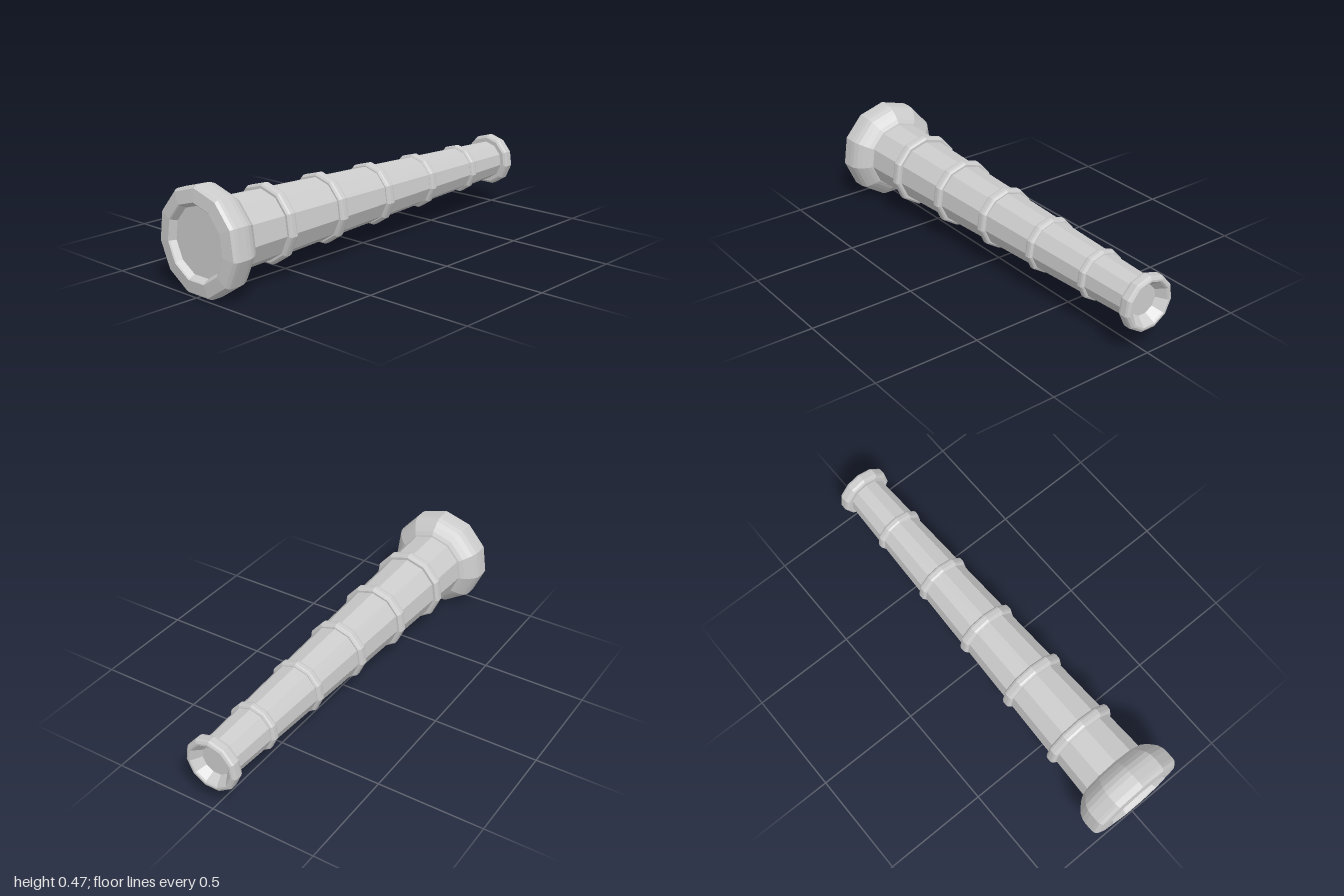
import * as THREE from 'three';

const SIDES = 11;
const AXIS_Y = 0.231;

export function createModel() {
  const model = new THREE.Group();
  const material = new THREE.MeshStandardMaterial({ color: 0xcccccc, flatShading: true });

  // Turns a profile of [radius, z] pairs about the z axis, with a corner at the top.
  // Profiles run from back to front along the outside.
  function turned(name, profile) {
    const points = profile.map(([r, z]) => new THREE.Vector2(r, z));
    const geometry = new THREE.LatheGeometry(points, SIDES, Math.PI);
    geometry.rotateX(Math.PI / 2);
    geometry.translate(0, AXIS_Y, 0);
    const mesh = new THREE.Mesh(geometry, material);
    mesh.name = name;
    model.add(mesh);
  }

  // Tapered tube
  const bodyRadius = z => THREE.MathUtils.mapLinear(z, -0.96, 0.83, 0.094, 0.165);
  turned('body', [[bodyRadius(-0.96), -0.96], [bodyRadius(0.84), 0.84]]);

  // Wide rounded head with a shallow recessed front
  turned('head', [
    [0.16, 0.825], [0.172, 0.828], [0.19, 0.84], [0.211, 0.86], [0.228, 0.88],
    [0.238, 0.903], [0.241, 0.925], [0.241, 0.965], [0.239, 0.98], [0.229, 0.993],
    [0.172, 1], [0.167, 0.995], [0.153, 0.97], [0, 0.97],
  ]);

  // Raised bands: position, outer radius, half width
  const bands = [
    [0.608, 0.179, 0.025], [0.283, 0.163, 0.025], [-0.042, 0.147, 0.025],
    [-0.367, 0.131, 0.022], [-0.695, 0.118, 0.02],
  ];
  bands.forEach(([z, r, w], i) => {
    const base = bodyRadius(z) - 0.01;
    turned(`band${i + 1}`, [
      [base, z - w], [r - 0.011, z - w], [r - 0.003, z - w * 0.75], [r, z - w * 0.4],
      [r, z + w * 0.4], [r - 0.003, z + w * 0.75], [r - 0.011, z + w], [base, z + w],
    ]);
  });

  // Collar at the narrow end with a tapered hollow
  turned('endCollar', [
    [0, -0.955], [0.07, -0.955], [0.098, -0.994], [0.105, -1], [0.114, -1],
    [0.124, -0.994], [0.128, -0.985], [0.128, -0.957], [0.124, -0.946], [0.114, -0.94], [0.088, -0.94],
  ]);

  return model;
}
